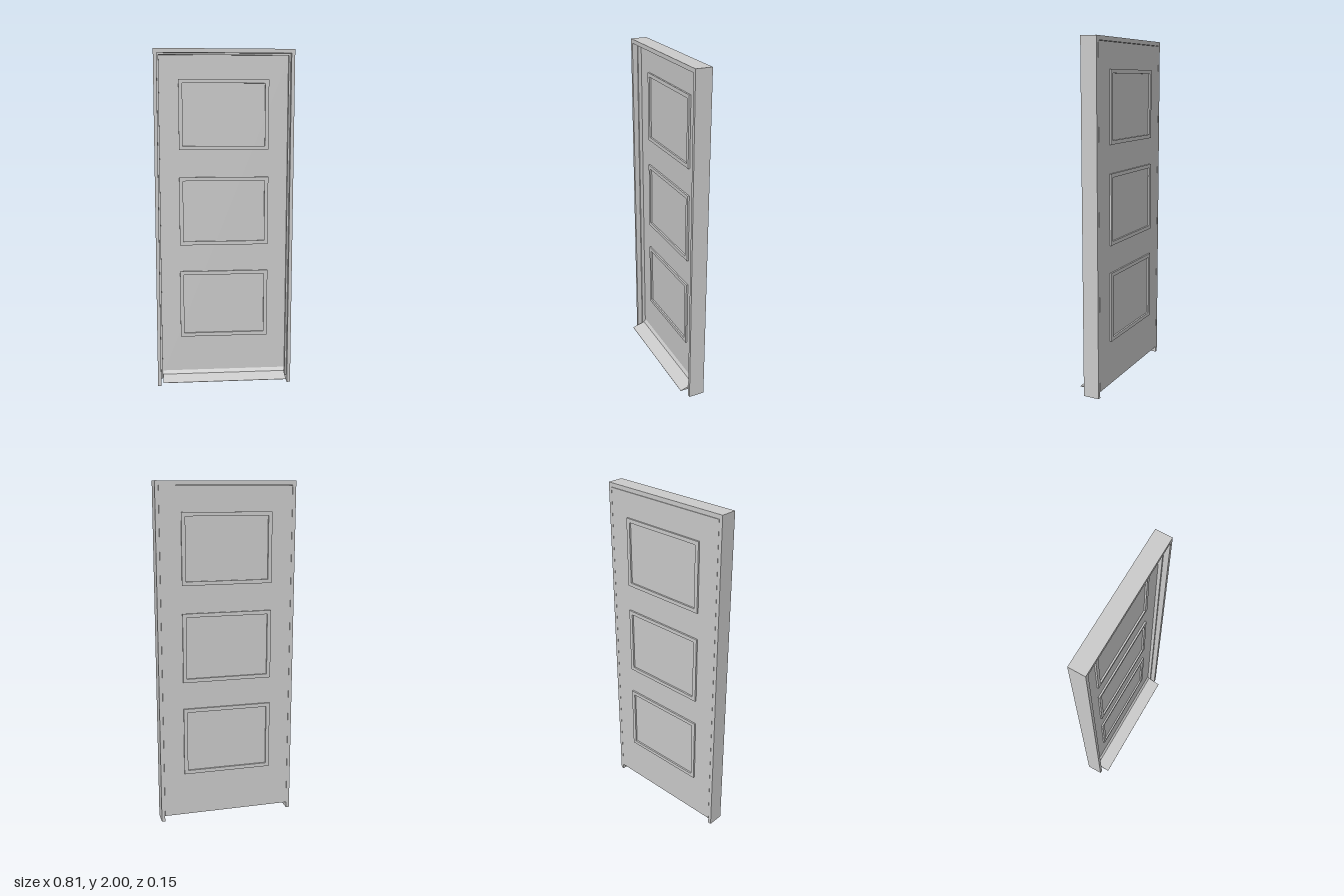
import * as THREE from 'three';

const material = new THREE.MeshStandardMaterial({ color: 0xcccccc, flatShading: true });

function add(parent, name, geometry, x = 0, y = 0, z = 0) {
  const mesh = new THREE.Mesh(geometry, material);
  mesh.name = name;
  mesh.position.set(x, y, z);
  parent.add(mesh);
  return mesh;
}

function shapeOf(points) {
  return new THREE.Shape(points.map(([x, y]) => new THREE.Vector2(x, y)));
}

function extrude(shape, depth) {
  return new THREE.ExtrudeGeometry(shape, { depth, bevelEnabled: false });
}

// Upside-down U: two legs joined by a head
function archway(outerX, outerTop, innerX, innerTop, bottom, depth) {
  return extrude(shapeOf([
    [-outerX, bottom], [-innerX, bottom], [-innerX, innerTop], [innerX, innerTop],
    [innerX, bottom], [outerX, bottom], [outerX, outerTop], [-outerX, outerTop],
  ]), depth);
}

// Flat rectangular ring, centred on its own origin
function ring(w, h, border, depth) {
  const rect = (a, b) => [[-a, -b], [a, -b], [a, b], [-a, b]];
  const shape = shapeOf(rect(w / 2, h / 2));
  shape.holes.push(shapeOf(rect(w / 2 - border, h / 2 - border)));
  return extrude(shape, depth);
}

export function createModel() {
  const group = new THREE.Group();
  group.name = 'door';

  const back = -0.065, front = 0.03, leafFront = -0.02, leafBottom = 0.035;

  // Frame with legs reaching the floor, and the stop the leaf closes against
  add(group, 'doorFrame', archway(0.405, 2, 0.385, 1.976, 0, front - back), 0, 0, back);
  add(group, 'doorStop', archway(0.385, 1.976, 0.375, 1.966, leafBottom, 0.02), 0, 0, leafFront);

  // Leaf, flush with the back of the frame
  const leafHeight = 1.974 - leafBottom;
  add(group, 'doorLeaf', new THREE.BoxGeometry(0.768, leafHeight, leafFront - back),
    0, leafBottom + leafHeight / 2, (leafFront + back) / 2);

  // Raised panel mouldings on both faces
  for (const y of [0.498, 1.063, 1.628]) {
    add(group, 'frontMoulding', ring(0.526, 0.405, 0.022, 0.01), 0, y, leafFront);
    add(group, 'backMoulding', ring(0.526, 0.405, 0.022, 0.01), 0, y, back - 0.01);
  }

  // Sloping weather bar across the foot of the leaf (profile in z, y)
  const profile = [[-0.02, 0.035], [0.073, 0.035], [0.073, 0.037], [-0.008, 0.06], [-0.02, 0.08]];
  const bar = extrude(shapeOf(profile.map(([z, y]) => [-z, y]).reverse()), 0.742);
  bar.rotateY(Math.PI / 2);
  add(group, 'weatherBar', bar, -0.371, 0, 0);

  return group;
}
